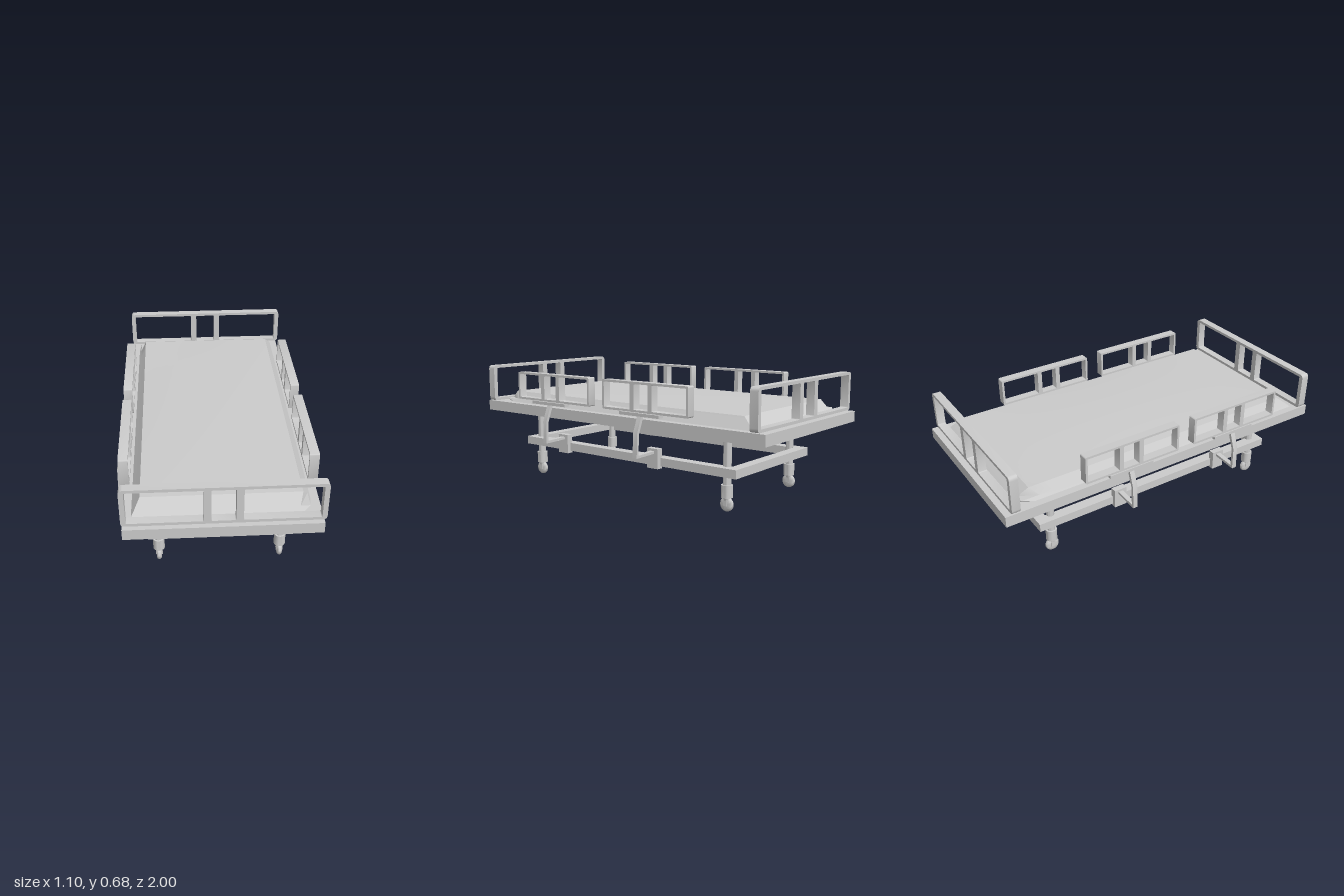
import * as THREE from 'three';
import { toCreasedNormals } from 'three/addons/utils/BufferGeometryUtils.js';

const material = new THREE.MeshStandardMaterial({ color: 0xcccccc });

function add(parent, name, geometry, x = 0, y = 0, z = 0) {
  const mesh = new THREE.Mesh(geometry, material);
  mesh.name = name;
  mesh.position.set(x, y, z);
  parent.add(mesh);
  return mesh;
}

const box = (w, h, d) => new THREE.BoxGeometry(w, h, d);
const tube = (rTop, rBottom, h) => toCreasedNormals(new THREE.CylinderGeometry(rTop, rBottom, h, 20), 0.7);

// Traces a rectangle with rounded corners into a shape or hole path
function roundedRect(path, x0, y0, x1, y1, r) {
  path.moveTo(x0 + r, y0);
  path.lineTo(x1 - r, y0);
  path.quadraticCurveTo(x1, y0, x1, y0 + r);
  path.lineTo(x1, y1 - r);
  path.quadraticCurveTo(x1, y1, x1 - r, y1);
  path.lineTo(x0 + r, y1);
  path.quadraticCurveTo(x0, y1, x0, y1 - r);
  path.lineTo(x0, y0 + r);
  path.quadraticCurveTo(x0, y0, x0 + r, y0);
  return path;
}

function extrude(shape, depth) {
  const geometry = new THREE.ExtrudeGeometry(shape, { depth, bevelEnabled: false, curveSegments: 5 });
  geometry.translate(0, 0, -depth / 2);
  return toCreasedNormals(geometry, 0.6);
}

// Open frame in x and y with upright bars at the given centres
function barredFrame(x0, x1, y0, y1, { side, edge, bars, barWidth, depth, radius }) {
  const shape = roundedRect(new THREE.Shape(), x0, y0, x1, y1, radius);
  const stops = [x0 + side];
  for (const b of bars) stops.push(b - barWidth / 2, b + barWidth / 2);
  stops.push(x1 - side);
  for (let i = 0; i < stops.length; i += 2) {
    shape.holes.push(roundedRect(new THREE.Path(), stops[i], y0 + edge, stops[i + 1], y1 - edge, radius * 0.3));
  }
  return extrude(shape, depth);
}

// Domed pad with sloping borders, made from concentric rectangles
function mattressGeometry() {
  const rings = [[0.8, 0.405, 0.83, 0.522], [0.9, 0.435, 0.885, 0.478], [1, 0.448, 0.905, 0.46]];
  const geometry = new THREE.PlaneGeometry(2, 2, 20, 20).rotateX(-Math.PI / 2);
  const p = geometry.attributes.position;
  for (let i = 0; i < p.count; i++) {
    const u = p.getX(i), v = p.getZ(i);
    const s = Math.max(Math.abs(u), Math.abs(v));
    if (s < 0.801) {
      const a = u / 0.8, b = v / 0.8;
      p.setXYZ(i, a * 0.405, 0.522 + 0.011 * (1 - a * a) * (1 - b * b), b * 0.83);
    } else {
      const [, hx, hz, y] = s < 0.95 ? rings[1] : rings[2];
      p.setXYZ(i, (u / s) * hx, y, (v / s) * hz);
    }
  }
  geometry.computeVertexNormals();
  return toCreasedNormals(geometry, 0.6);
}

// Bent flat arm from the side rail down and back in to the lower frame
function armGeometry() {
  const outline = [
    [0.488, 0.487], [0.507, 0.487], [0.545, 0.387], [0.548, 0.258],
    [0.395, 0.263], [0.395, 0.277], [0.533, 0.273], [0.529, 0.383],
  ];
  return extrude(new THREE.Shape(outline.map(([x, y]) => new THREE.Vector2(x, y))), 0.028);
}

function createLeg(x, z) {
  const leg = new THREE.Group();
  leg.name = 'leg';
  leg.position.set(x, 0, z);
  add(leg, 'legPost', tube(0.022, 0.022, 0.27), 0, 0.27, 0);
  add(leg, 'legCollar', tube(0.031, 0.031, 0.067), 0, 0.108, 0);
  add(leg, 'casterNeck', tube(0.021, 0.017, 0.024), 0, 0.063, 0);
  // Wheel with a rounded tread
  const profile = [[0, -0.014], [0.026, -0.014], [0.034, -0.011], [0.039, -0.004],
    [0.039, 0.004], [0.034, 0.011], [0.026, 0.014], [0, 0.014]];
  const wheel = new THREE.LatheGeometry(profile.map(([r, y]) => new THREE.Vector2(r, y)), 24);
  wheel.rotateZ(Math.PI / 2);
  add(leg, 'casterWheel', toCreasedNormals(wheel, 0.8), 0, 0.039, 0);
  for (const s of [-1, 1]) add(leg, 'casterFork', box(0.004, 0.036, 0.022), s * 0.016, 0.05, 0);
  return leg;
}

export function createModel() {
  const bed = new THREE.Group();
  bed.name = 'hospitalBed';

  // Platform and mattress
  add(bed, 'platform', box(0.98, 0.06, 2), 0, 0.43, 0);
  add(bed, 'mattress', mattressGeometry());

  // End boards
  const board = barredFrame(-0.495, 0.502, 0.463, 0.68, {
    side: 0.025, edge: 0.016, bars: [-0.077, 0.079], barWidth: 0.036, depth: 0.047, radius: 0.022,
  });
  add(bed, 'footBoard', board, 0, 0, 0.953);
  add(bed, 'headBoard', board, 0, 0, -0.942);

  // Lower frame
  for (const s of [-1, 1]) {
    add(bed, 'lowerSideBeam', box(0.06, 0.047, 1.545), s * 0.35, 0.216, 0.002);
    add(bed, 'lowerCrossBeam', box(0.64, 0.047, 0.06), 0, 0.216, 0.002 + s * 0.7425);
  }

  // Legs with casters
  for (const x of [-0.327, 0.323]) for (const z of [-0.682, 0.706]) bed.add(createLeg(x, z));

  // Side rails, each held by an arm from the lower frame
  const arm = armGeometry();
  for (const s of [-1, 1]) {
    for (const [z0, z1, middle] of [[0.123, 0.706, 0.418], [-0.56, 0.021, -0.267]]) {
      const z = middle + s * 0.016;
      const rail = new THREE.Group();
      rail.name = s > 0 ? 'leftSideRail' : 'rightSideRail';
      const frame = barredFrame(z0, z1, 0.494, 0.655, {
        side: 0.013, edge: 0.012, bars: [z - 0.061, z + 0.061], barWidth: 0.027, depth: 0.05, radius: 0.01,
      }).rotateY(-Math.PI / 2);
      add(rail, 'railFrame', frame, s * 0.48 - 0.005, 0, 0);
      add(rail, 'railMount', box(0.035, 0.017, 0.27), s * 0.499, 0.486, z);
      const armMesh = add(rail, 'railArm', arm, 0, 0, z);
      if (s < 0) armMesh.rotation.y = Math.PI;
      add(rail, 'armBracket', box(0.036, 0.11, 0.075), s * 0.385, 0.235, z);
      bed.add(rail);
    }
  }
  return bed;
}
